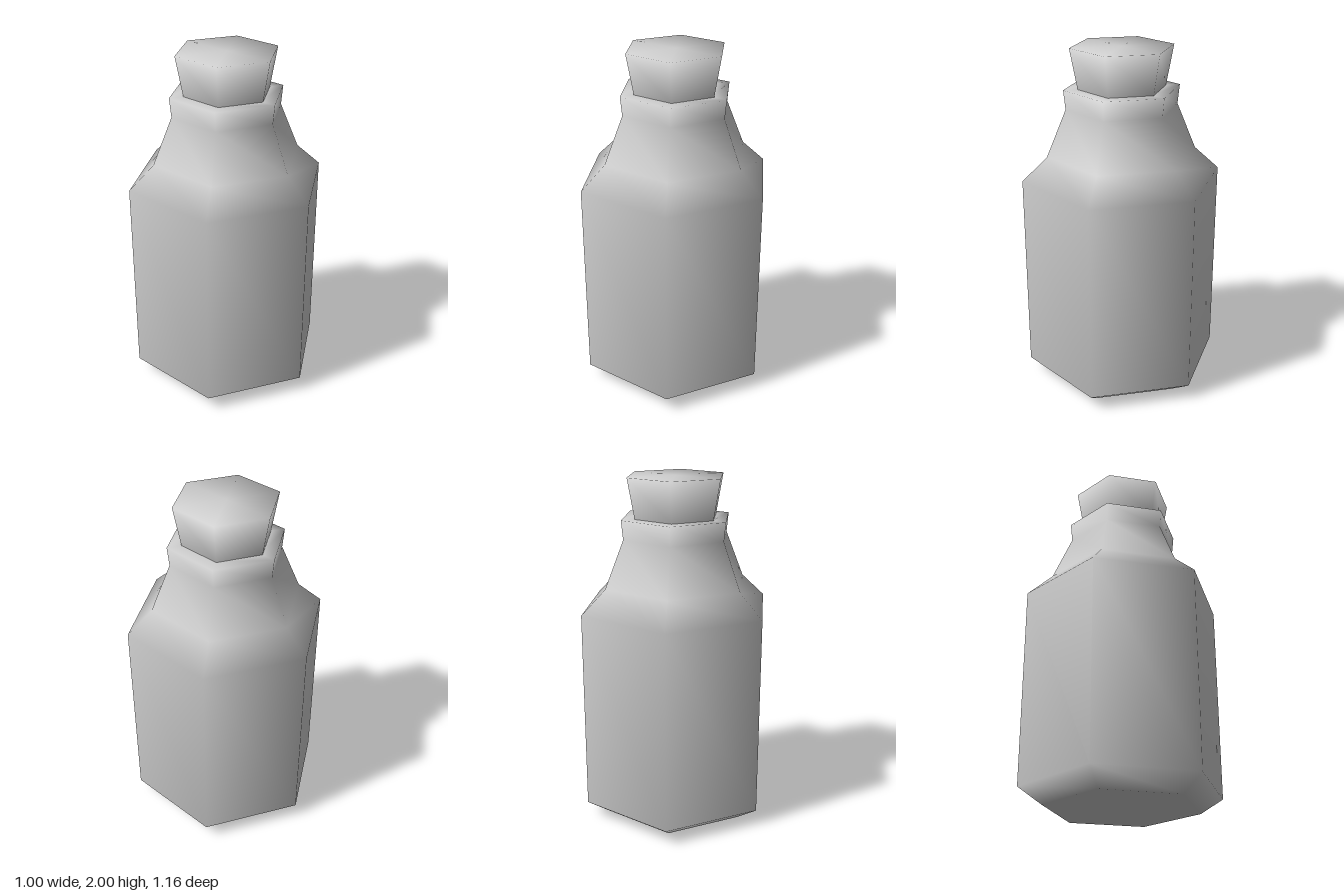
import * as THREE from 'three';

const SIDES = 6;

// Revolves a [radius, height] profile, listed bottom to top, into a smooth six-sided solid.
function turned(name, profile, material) {
  const points = profile.map(([r, y]) => new THREE.Vector2(r, y));
  const mesh = new THREE.Mesh(new THREE.LatheGeometry(points, SIDES), material);
  mesh.name = name;
  return mesh;
}

export function createModel() {
  const grey = new THREE.MeshStandardMaterial({ color: 0xcccccc });
  grey.name = 'plain grey';

  const group = new THREE.Group();
  group.name = 'corkedBottle';

  // Bottle: base, chamfer, body, shoulder, neck and flared lip
  group.add(turned('bottle', [
    [0, 0],
    [0.445, 0],
    [0.58, 0.09],
    [0.58, 1.255],
    [0.435, 1.39],
    [0.322, 1.66],
    [0.333, 1.77],
    [0.24, 1.77],
  ], grey));

  // Tapered stopper, seated slightly inside the neck
  group.add(turned('stopper', [
    [0, 1.7],
    [0.237, 1.7],
    [0.252, 1.77],
    [0.295, 2],
    [0, 2],
  ], grey));

  return group;
}
